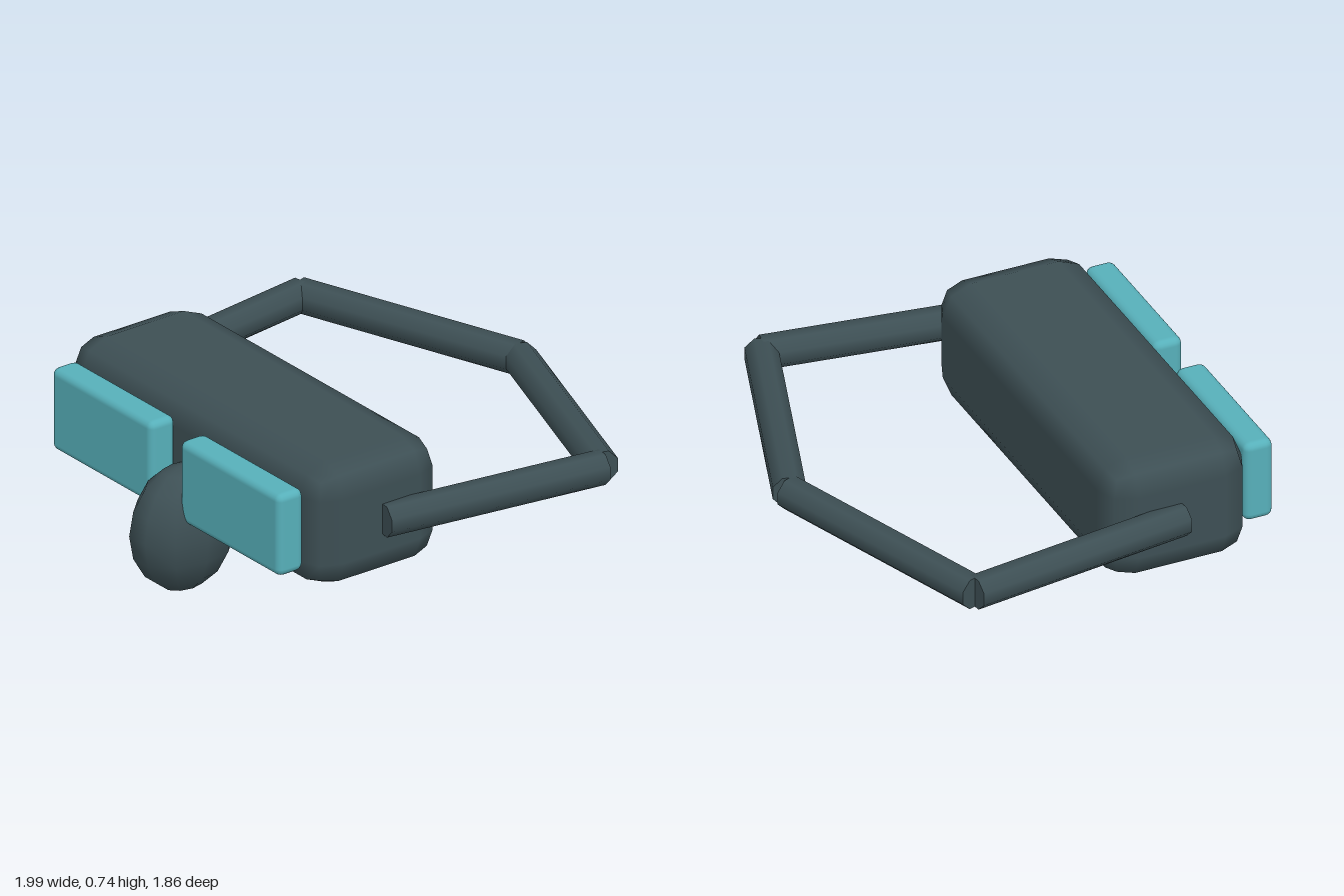
import * as THREE from 'three';
import { RoundedBoxGeometry } from 'three/addons/geometries/RoundedBoxGeometry.js';

export function createModel() {
  const group = new THREE.Group();
  const shell = new THREE.MeshStandardMaterial({ name: 'dark slate', color: 0x3d4f54 });
  const glass = new THREE.MeshStandardMaterial({ name: 'teal glass', color: 0x57b0ba });

  const add = (name, geometry, material, x, y, z) => {
    const mesh = new THREE.Mesh(geometry, material);
    mesh.name = name;
    mesh.position.set(x, y, z);
    group.add(mesh);
    return mesh;
  };

  // Octagonal bar between two points, with flats facing up and sideways
  const bar = (name, a, b) => {
    const dir = b.clone().sub(a);
    const geometry = new THREE.CylinderGeometry(0.068, 0.068, dir.length(), 8);
    geometry.rotateY(Math.PI / 8);
    geometry.rotateX(Math.PI / 2);
    const mid = a.clone().add(b).multiplyScalar(0.5);
    const mesh = add(name, geometry, shell, mid.x, mid.y, mid.z);
    mesh.rotation.y = Math.atan2(dir.x, dir.z);
  };

  // Headset housing
  add('housing', new RoundedBoxGeometry(1.58, 0.505, 0.6, 1, 0.12), shell, 0, 0.4925, 0.385);

  // Low-poly ellipsoid nose
  const nose = new THREE.SphereGeometry(1, 10, 8);
  nose.scale(0.16, 0.255, 0.226);
  add('nose', nose, shell, 0, 0.26, 0.72);

  // Lenses and the four-piece head strap, mirrored
  for (const [side, s] of [['left', 1], ['right', -1]]) {
    add(side + 'Lens', new RoundedBoxGeometry(0.62, 0.34, 0.12, 2, 0.03), glass, s * 0.395, 0.505, 0.745);
    const y = 0.4925;
    const front = new THREE.Vector3(s * 0.797, y, 0.383);
    const corner = new THREE.Vector3(s * 0.932, y, -0.543);
    const back = new THREE.Vector3(0, y, -0.868);
    bar(side + 'SideStrap', front, corner);
    bar(side + 'BackStrap', corner, back);
  }
  return group;
}
